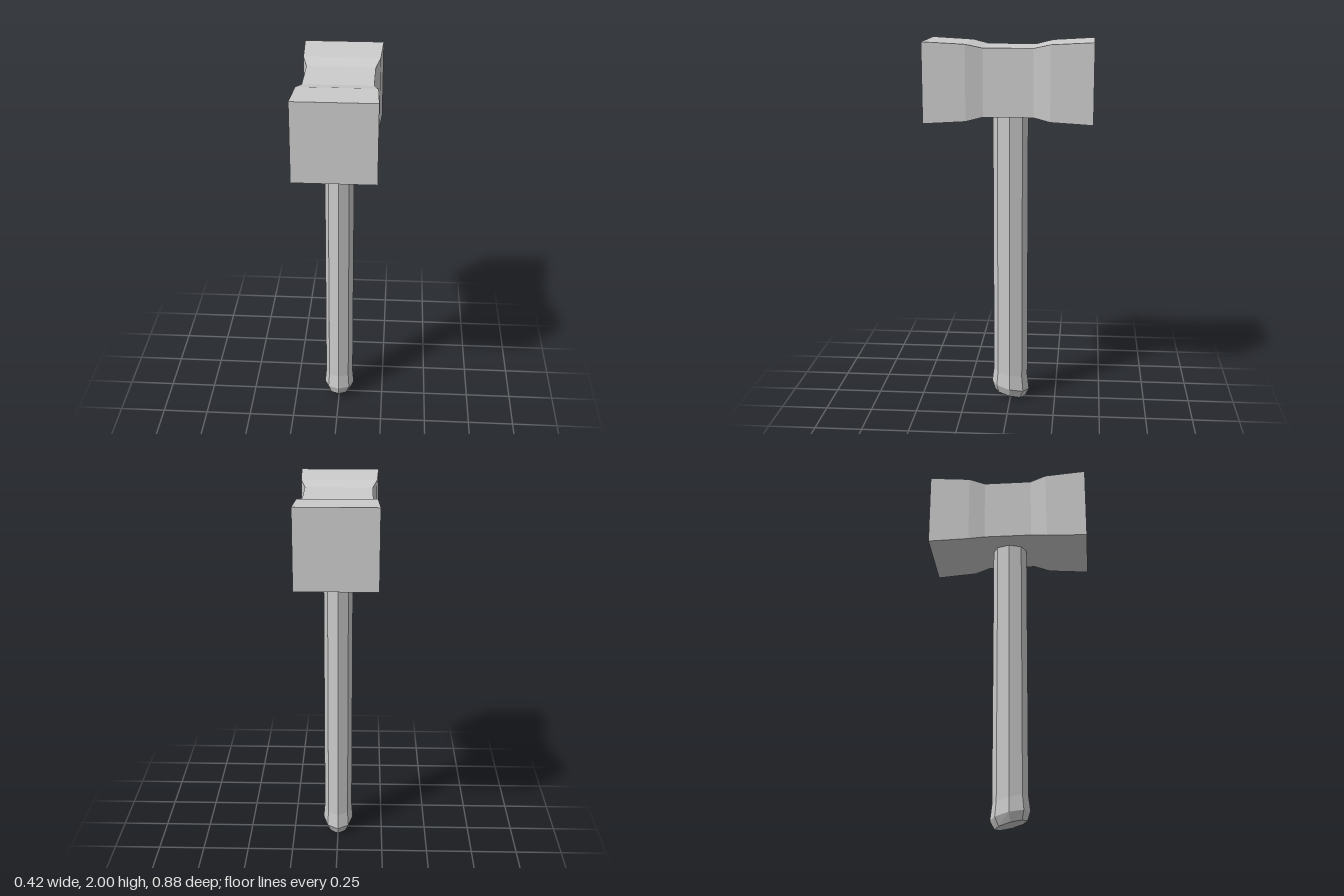
import * as THREE from 'three';

const material = new THREE.MeshStandardMaterial({ color: 0xcccccc, flatShading: true });

// Skins a list of equal-sized rings and closes both ends; rings run
// counter-clockwise when seen from the far end of the loft.
function loft(name, rings) {
  const n = rings[0].length;
  const index = [];
  for (let r = 0; r < rings.length - 1; r++) {
    for (let i = 0; i < n; i++) {
      const j = (i + 1) % n;
      const a = r * n + i, b = r * n + j;
      index.push(a, b, b + n, a, b + n, a + n);
    }
  }
  const last = (rings.length - 1) * n;
  for (let i = 1; i < n - 1; i++) {
    index.push(0, i + 1, i);
    index.push(last, last + i, last + i + 1);
  }
  const geometry = new THREE.BufferGeometry();
  geometry.setAttribute('position', new THREE.Float32BufferAttribute(rings.flat(2), 3));
  geometry.setIndex(index);
  const flat = geometry.toNonIndexed();
  flat.computeVertexNormals();
  const mesh = new THREE.Mesh(flat, material);
  mesh.name = name;
  return mesh;
}

// Rectangular section of the head at depth z
function headSection(z, halfWidth, halfHeight) {
  const y = 1.792;
  return [
    [halfWidth, y - halfHeight, z],
    [halfWidth, y + halfHeight, z],
    [-halfWidth, y + halfHeight, z],
    [-halfWidth, y - halfHeight, z],
  ];
}

// Eight-sided oval section of the handle; tilt raises the front edge
function handleSection(y, rx, rz, tilt = 0, zShift = 0) {
  return Array.from({ length: 8 }, (_, i) => {
    const a = (i / 8) * Math.PI * 2;
    const z = Math.cos(a);
    return [Math.sin(a) * rx, y + z * tilt, z * rz + zShift];
  });
}

export function createModel() {
  const group = new THREE.Group();
  group.name = 'hammer';

  // Head: narrow waist flaring to two square striking faces
  const half = [[0.13, 0.177, 0.176], [0.217, 0.2, 0.196], [0.438, 0.21, 0.208]];
  const sections = [
    ...half.slice().reverse().map(([z, w, h]) => headSection(-z, w, h)),
    ...half.map(([z, w, h]) => headSection(z, w, h)),
  ];
  group.add(loft('head', sections));

  // Handle: straight octagonal shaft ending in a slanted, swollen butt
  group.add(loft('handle', [
    handleSection(0.024, 0.06, 0.084, 0.021, 0.004),
    handleSection(0.071, 0.084, 0.104, 0.023),
    handleSection(0.152, 0.077, 0.094, 0.022),
    handleSection(1.66, 0.077, 0.094),
  ]));

  return group;
}
